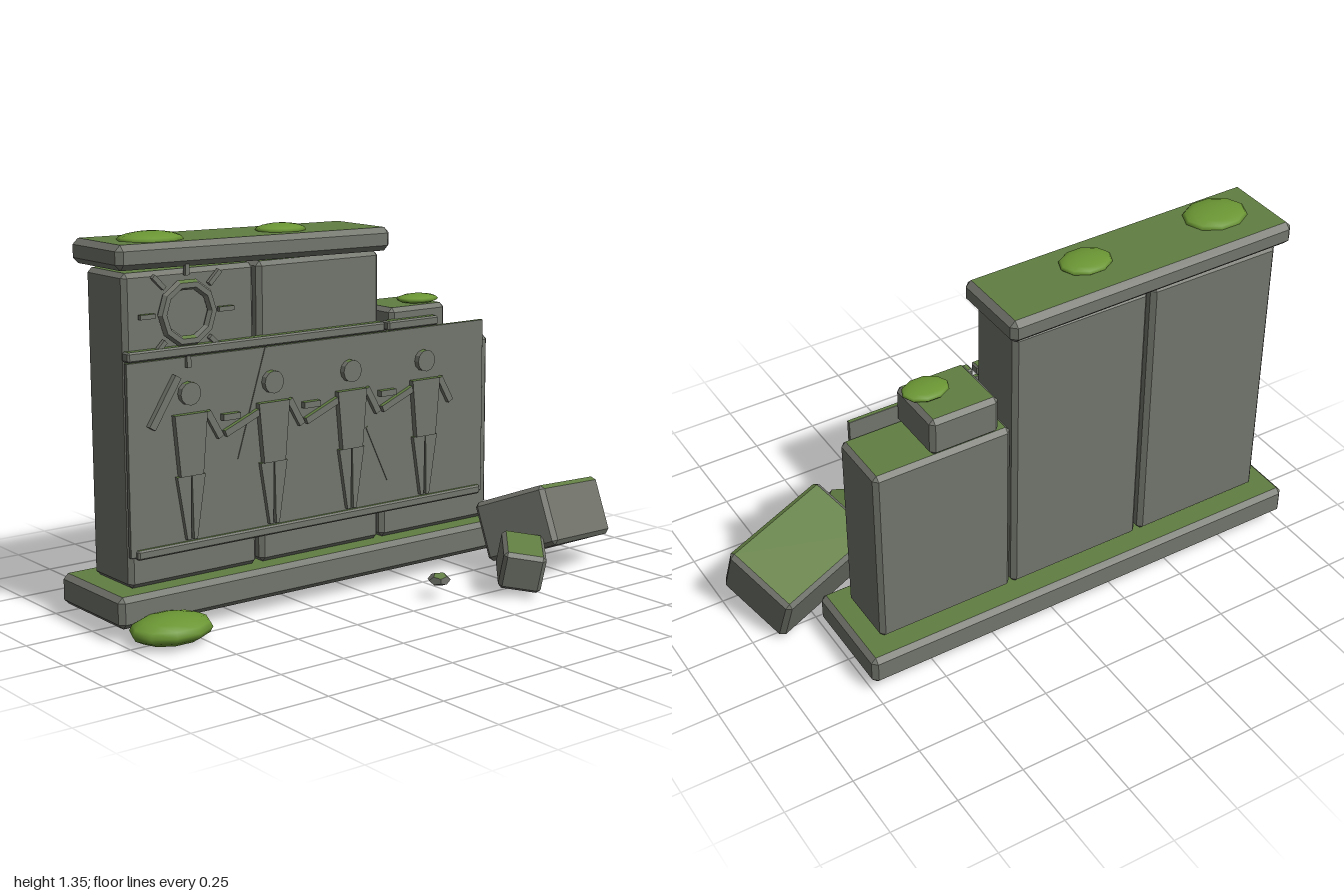
import * as THREE from 'three';
import { ConvexGeometry } from 'three/addons/geometries/ConvexGeometry.js';

export function createModel() {
  const root = new THREE.Group();
  const mat = (name, color) => {
    const m = new THREE.MeshStandardMaterial({ color });
    m.name = name;
    return m;
  };
  const stone = mat('stone', 0x72756c);
  const mossTop = mat('mossyTop', 0x627e43);
  const clump = mat('mossClump', 0x6b9634);

  // Flat-shaded stone; triangles that face the sky take the mossy colour
  function addStone(name, geo, parent = root) {
    const src = geo.index ? geo.toNonIndexed() : geo;
    const p = src.attributes.position;
    const sides = [], tops = [];
    const tri = new THREE.Triangle(), n = new THREE.Vector3();
    for (let i = 0; i < p.count; i += 3) {
      tri.setFromAttributeAndIndices(p, i, i + 1, i + 2);
      tri.getNormal(n);
      const out = n.y > 0.85 ? tops : sides;
      for (const v of [tri.a, tri.b, tri.c]) out.push(v.x, v.y, v.z);
    }
    const g = new THREE.BufferGeometry();
    g.setAttribute('position', new THREE.Float32BufferAttribute(sides.concat(tops), 3));
    g.addGroup(0, sides.length / 3, 0);
    g.addGroup(sides.length / 3, tops.length / 3, 1);
    g.computeVertexNormals();
    const mesh = new THREE.Mesh(g, [stone, mossTop]);
    mesh.name = name;
    parent.add(mesh);
    return mesh;
  }

  // Box with cut edges, centred on the origin
  function chamferBox(w, h, d, c) {
    const pts = [];
    for (const x of [-w / 2, w / 2]) for (const y of [-h / 2, h / 2]) for (const z of [-d / 2, d / 2]) {
      const cx = x - Math.sign(x) * c, cy = y - Math.sign(y) * c, cz = z - Math.sign(z) * c;
      pts.push(new THREE.Vector3(x, cy, cz), new THREE.Vector3(cx, y, cz), new THREE.Vector3(cx, cy, z));
    }
    return new ConvexGeometry(pts);
  }
  const block = (name, x0, x1, y0, y1, z0, z1, c = 0.016, roll = 0, parent = root) =>
    addStone(name, chamferBox(x1 - x0, y1 - y0, z1 - z0, c).rotateZ(roll)
      .translate((x0 + x1) / 2, (y0 + y1) / 2, (z0 + z1) / 2), parent);

  // Wall
  block('base', -1, 0.755, 0.05, 0.16, -0.455, -0.055, 0.018);
  block('leftColumn', -0.917, -0.397, 0.16, 1.225, -0.37, -0.128);
  block('middleColumn', -0.383, 0.147, 0.16, 1.225, -0.37, -0.128);
  block('rightColumn', 0.155, 0.675, 0.16, 0.867, -0.37, -0.128);
  block('brokenStone', 0.2, 0.46, 0.867, 1.01, -0.368, -0.128);
  block('capStone', -0.953, 0.175, 1.232, 1.316, -0.405, -0.093, 0.02, -0.011);

  // Carved panel and mouldings
  const zBack = -0.122, zFront = -0.098;
  block('carvedPanel', -0.917, 0.637, 0.27, 0.93, -0.135, -0.12, 0.001);
  block('upperMoulding', -0.922, 0.15, 0.935, 0.97, -0.14, zFront, 0.006);
  block('upperMouldingEnd', 0.165, 0.4, 0.935, 0.97, -0.14, zFront, 0.006);
  block('lowerMoulding', -0.897, 0.62, 0.262, 0.295, -0.14, -0.104, 0.006);

  // Flat relief shapes on the wall face
  function relief(name, points, parent, front = zFront) {
    const shape = new THREE.Shape(points.map(([x, y]) => new THREE.Vector2(x, y)));
    addStone(name, new THREE.ExtrudeGeometry(shape, { depth: front - zBack, bevelEnabled: false })
      .translate(0, 0, zBack), parent);
  }
  function bar(name, x0, y0, x1, y1, w, parent, front = zFront) {
    const len = Math.hypot(x1 - x0, y1 - y0);
    addStone(name, new THREE.BoxGeometry(len, w, front - zBack)
      .rotateZ(Math.atan2(y1 - y0, x1 - x0))
      .translate((x0 + x1) / 2, (y0 + y1) / 2, (zBack + front) / 2), parent);
  }

  // Sun: faceted ring with eight rays
  const sun = new THREE.Group();
  sun.name = 'sun';
  root.add(sun);
  addStone('sunRing', new THREE.TorusGeometry(0.098, 0.018, 6, 10)
    .translate(-0.682, 1.08, -0.112), sun);
  for (let i = 0; i < 8; i++) {
    const a = i * Math.PI / 4, c = Math.cos(a), s = Math.sin(a);
    bar('sunRay', -0.682 + c * 0.125, 1.08 + s * 0.125, -0.682 + c * 0.185, 1.08 + s * 0.185, 0.016, sun, -0.106);
  }

  // Row of four carved figures
  [-0.682, -0.34, 0.002, 0.345].forEach((x, i) => {
    const f = new THREE.Group();
    f.name = 'figure' + (i + 1);
    root.add(f);
    addStone('head', new THREE.CylinderGeometry(0.04, 0.04, 0.024, 12).rotateX(Math.PI / 2)
      .translate(x, 0.807, -0.11), f);
    relief('torso', [[x - 0.045, 0.525], [x + 0.045, 0.525], [x + 0.065, 0.738], [x - 0.065, 0.738]], f);
    for (const s of [-1, 1]) {
      const leg = [[x + s * 0.056, 0.525], [x + s * 0.002, 0.525], [x + s * 0.006, 0.302], [x + s * 0.02, 0.302]];
      relief('leg', leg, f, -0.104);
    }
    bar('leftArm', x + 0.07, 0.735, x + 0.123, 0.642, 0.024, f, -0.103);
    if (i > 0) bar('rightArm', x - 0.2, 0.65, x - 0.06, 0.708, 0.024, f, -0.103);
    if (i < 3) bar('heldObject', x + 0.13, 0.708, x + 0.2, 0.708, 0.022, f);
  });
  bar('staff', -0.835, 0.705, -0.73, 0.87, 0.026, root);
  bar('crackLeft', -0.48, 0.55, -0.36, 0.93, 0.009, root, -0.116);
  bar('crackRight', 0.08, 0.59, 0.178, 0.38, 0.009, root, -0.116);

  // Fallen stones
  const xAxis = new THREE.Vector3(0.942, -0.12, -0.314).normalize();
  const yAxis = new THREE.Vector3(0.32, 0.36, 0.87).cross(xAxis).normalize();
  const zAxis = new THREE.Vector3().crossVectors(xAxis, yAxis);
  const tilt = new THREE.Matrix4().makeBasis(xAxis, yAxis, zAxis).setPosition(0.742, 0.19, 0.118);
  addStone('fallenBlock', chamferBox(0.45, 0.225, 0.3, 0.016).applyMatrix4(tilt));
  const small = new THREE.Matrix4().makeRotationFromEuler(new THREE.Euler(0.25, 0.9, 0))
    .setPosition(0.453, 0.115, 0.31);
  addStone('fallenChunk', chamferBox(0.2, 0.145, 0.155, 0.014).applyMatrix4(small));
  addStone('pebble', new THREE.DodecahedronGeometry(0.042).scale(1, 0.6, 0.85)
    .rotateY(-0.5).translate(0.17, 0.072, 0.187));

  // Moss cushions: x, y, z, then half sizes
  for (const [x, y, z, rx, ry, rz] of [
    [-0.852, 0.052, 0.018, 0.15, 0.05, 0.117],
    [-0.755, 1.321, -0.218, 0.12, 0.027, 0.097],
    [-0.218, 1.318, -0.226, 0.097, 0.022, 0.077],
    [0.392, 1.022, -0.212, 0.085, 0.018, 0.065],
  ]) {
    const m = new THREE.Mesh(new THREE.SphereGeometry(1, 10, 8).scale(rx, ry, rz), clump);
    m.position.set(x, y, z);
    m.name = 'mossCushion';
    root.add(m);
  }
  return root;
}
